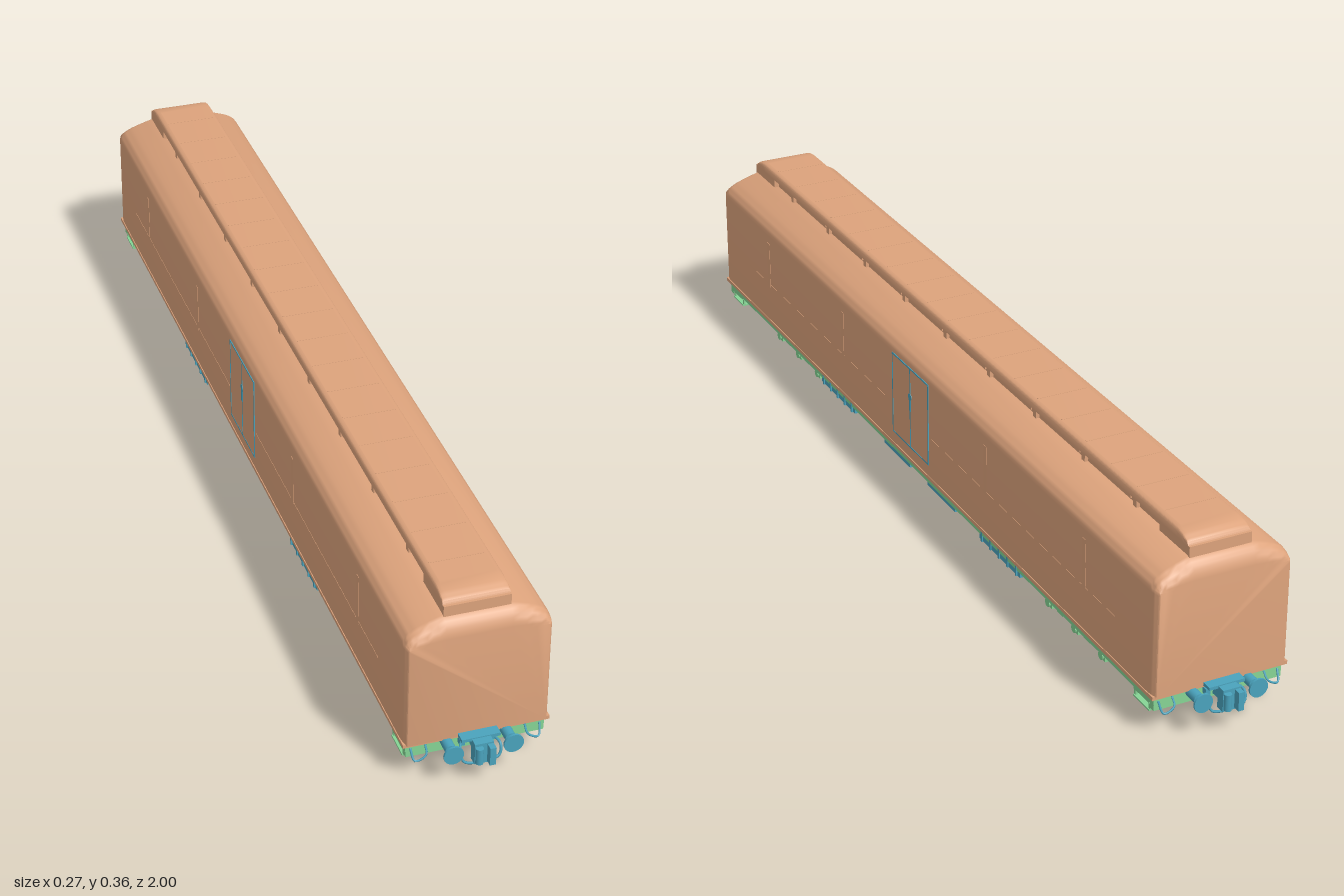
import * as THREE from 'three';
import { toCreasedNormals } from 'three/addons/utils/BufferGeometryUtils.js';

const bodyMat = new THREE.MeshStandardMaterial({ color: 0xdda37c });
const frameMat = new THREE.MeshStandardMaterial({ color: 0x86d495 });
const gearMat = new THREE.MeshStandardMaterial({ color: 0x4aa3bd });

function add(parent, name, geometry, material, x = 0, y = 0, z = 0) {
  const mesh = new THREE.Mesh(geometry, material);
  mesh.name = name;
  mesh.position.set(x, y, z);
  parent.add(mesh);
  return mesh;
}
function group(parent, name, z = 0) {
  const g = new THREE.Group();
  g.name = name;
  g.position.z = z;
  parent.add(g);
  return g;
}
const box = (w, h, d) => new THREE.BoxGeometry(w, h, d);
const rodX = (r, l, n = 20) => new THREE.CylinderGeometry(r, r, l, n).rotateZ(Math.PI / 2);
const rodZ = (r, l, n = 20) => new THREE.CylinderGeometry(r, r, l, n).rotateX(Math.PI / 2);
const tube = (pts, r) => new THREE.TubeGeometry(
  new THREE.CatmullRomCurve3(pts.map(p => new THREE.Vector3(...p))), 16, r, 6);

// Skin convex cross-sections (counter-clockwise, ordered from -z to +z) and cap both ends
function loft(sections) {
  const pos = [], tri = (...p) => p.forEach(v => pos.push(...v));
  const n = sections[0].length;
  for (let i = 0; i < sections.length - 1; i++) for (let j = 0; j < n; j++) {
    const k = (j + 1) % n, s = sections[i], t = sections[i + 1];
    tri(s[j], s[k], t[k]);
    tri(s[j], t[k], t[j]);
  }
  const back = sections[0], front = sections[sections.length - 1];
  for (let j = 1; j < n - 1; j++) {
    tri(front[0], front[j], front[j + 1]);
    tri(back[0], back[j + 1], back[j]);
  }
  const g = new THREE.BufferGeometry();
  g.setAttribute('position', new THREE.Float32BufferAttribute(pos, 3));
  return toCreasedNormals(g, 0.6);
}

// Long shell whose roof curves down to the eaves line at both ends
function roundedShell(shape, zEnd, r, eaves, pinch) {
  const profile = shape.getPoints(10);
  if (profile[0].distanceTo(profile[profile.length - 1]) < 1e-5) profile.pop();
  const half = [];
  for (let i = 0; i <= 8; i++) {
    const a = i / 8 * Math.PI / 2, f = Math.cos(a);
    half.push({ z: zEnd - r * (1 - Math.sin(a)), f });
  }
  const rings = [...half.map(h => ({ z: -h.z, f: h.f })).reverse(), ...half];
  return loft(rings.map(({ z, f }) => profile.map(p => [
    p.x * (1 - pinch * (1 - f)), p.y > eaves ? eaves + (p.y - eaves) * f : p.y, z])));
}

function createCarBody(root) {
  const g = group(root, 'carBody');
  const s = new THREE.Shape();
  s.moveTo(0.131, 0.078);
  s.lineTo(0.131, 0.277);
  s.bezierCurveTo(0.131, 0.303, 0.105, 0.312, 0.06, 0.325);
  s.lineTo(-0.06, 0.325);
  s.bezierCurveTo(-0.105, 0.312, -0.131, 0.303, -0.131, 0.277);
  s.lineTo(-0.131, 0.078);
  add(g, 'shell', roundedShell(s, 0.95, 0.03, 0.281, 0.05), bodyMat);
  add(g, 'floorLip', box(0.265, 0.007, 1.896), bodyMat, 0, 0.0775, 0);

  // Side doors, rails and wall battens
  for (const x of [-1, 1]) {
    const d = group(g, x > 0 ? 'leftSide' : 'rightSide');
    add(d, 'doorPanel', box(0.002, 0.17, 0.156), bodyMat, x * 0.131, 0.19, 0);
    for (const z of [-0.079, 0, 0.079])
      add(d, 'doorPost', box(0.003, 0.17, 0.003), gearMat, x * 0.131, 0.19, z);
    for (const y of [0.106, 0.275])
      add(d, 'doorRail', box(0.003, 0.003, 0.16), gearMat, x * 0.131, y, 0);
    add(d, 'doorHandle', box(0.004, 0.03, 0.008), gearMat, x * 0.131, 0.2, 0);
    add(d, 'doorLock', rodX(0.007, 0.004, 12), gearMat, x * 0.131, 0.215, 0);
    for (const z of [-0.7, -0.32, 0.32, 0.7])
      add(d, 'wallBatten', box(0.0015, 0.1, 0.012), bodyMat, x * 0.131, 0.21, z);
    for (const z of [-1, 1])
      add(d, 'beltMoulding', box(0.001, 0.002, 0.72), bodyMat, x * 0.131, 0.165, z * 0.45);
  }
}

function createClerestory(root) {
  const g = group(root, 'clerestory');
  const roof = new THREE.Shape();
  roof.moveTo(0.06, 0.342);
  roof.lineTo(0.06, 0.352);
  roof.quadraticCurveTo(0.06, 0.36, 0.05, 0.36);
  roof.lineTo(-0.05, 0.36);
  roof.quadraticCurveTo(-0.06, 0.36, -0.06, 0.352);
  roof.lineTo(-0.06, 0.342);
  add(g, 'raisedRoof', roundedShell(roof, 0.925, 0.045, 0.342, 0), bodyMat);
  add(g, 'windowWall', box(0.1, 0.022, 1.8), bodyMat, 0, 0.333, 0);
  for (const z of [-1, 1])
    add(g, 'endHood', box(0.12, 0.022, 0.1), bodyMat, 0, 0.332, z * 0.88);
  for (let i = -4; i <= 4; i++) {
    add(g, 'windowDivider', box(0.114, 0.02, 0.012), bodyMat, 0, 0.333, i * 0.185);
    if (i < 4) for (const x of [-1, 1])
      add(g, 'ventWindow', box(0.003, 0.011, 0.14), bodyMat, x * 0.051, 0.334, (i + 0.5) * 0.185);
  }
  for (let i = -9; i <= 9; i++)
    add(g, 'roofSeam', box(0.1, 0.001, 0.003), bodyMat, 0, 0.36, i * 0.092);
}

function createUnderframe(root) {
  const g = group(root, 'underframe');
  for (const x of [-1, 1]) {
    add(g, 'centreSill', box(0.012, 0.03, 1.86), frameMat, x * 0.024, 0.062, 0);
    add(g, 'sideSill', box(0.008, 0.018, 1.88), frameMat, x * 0.122, 0.068, 0);
    add(g, 'lowerChord', box(0.012, 0.012, 0.72), frameMat, x * 0.1, 0.05, 0);
    // Battery boxes with ribbed fronts
    for (const z of [-1, 1]) {
      const b = group(g, 'batteryBox', z * 0.365);
      add(b, 'case', box(0.036, 0.028, 0.165), gearMat, x * 0.106, 0.061, 0);
      for (let i = -2; i <= 2; i++)
        add(b, 'rib', box(0.003, 0.03, 0.005), gearMat, x * 0.125, 0.061, i * 0.035);
      // Air tanks with straps
      add(g, 'airTank', new THREE.CapsuleGeometry(0.014, 0.11, 5, 18).rotateX(Math.PI / 2), gearMat, x * 0.062, 0.055, z * 0.17);
      for (const dz of [-0.04, 0.04])
        add(g, 'tankStrap', rodZ(0.015, 0.006), frameMat, x * 0.062, 0.055, z * 0.17 + dz);
      add(g, 'equipmentTray', box(0.03, 0.012, 0.12), gearMat, x * 0.1, 0.044, z * 0.1);
    }
  }
  for (let i = -10; i <= 10; i++)
    add(g, 'crossMember', box(0.24, 0.014, 0.01), frameMat, 0, 0.069, i * 0.092);
  for (const z of [-1, 1]) {
    add(g, 'brakeCylinder', rodZ(0.016, 0.08), gearMat, z * 0.005, 0.052, z * 0.31);
    add(g, 'brakeRod', rodZ(0.003, 0.25, 8), gearMat, z * 0.005, 0.052, z * 0.15);
  }
}

// Six-wheel truck
function createBogie(root, z0) {
  const g = group(root, z0 > 0 ? 'frontBogie' : 'rearBogie', z0);
  const wheelProfile = [[0.004, -0.005], [0.01, -0.007], [0.01, -0.003], [0.02, -0.003], [0.021, -0.006],
    [0.0275, -0.006], [0.028, -0.004], [0.0255, -0.002], [0.025, 0.006], [0.021, 0.006],
    [0.02, 0.002], [0.01, 0.002], [0.01, 0.007], [0.004, 0.007]].map(p => new THREE.Vector2(...p));
  const wheel = toCreasedNormals(new THREE.LatheGeometry(wheelProfile, 32), 0.5);

  // Side frame with an arch over each gap between axles
  const s = new THREE.Shape();
  s.moveTo(-0.15, 0.062);
  s.lineTo(-0.15, 0.05);
  for (const z of [-0.1, 0, 0.1]) {
    s.lineTo(z - 0.022, 0.045);
    s.lineTo(z - 0.014, 0.024);
    s.lineTo(z + 0.014, 0.024);
    s.lineTo(z + 0.022, 0.045);
  }
  s.lineTo(0.15, 0.05);
  s.lineTo(0.15, 0.062);
  const side = new THREE.ExtrudeGeometry(s, { depth: 0.006, bevelEnabled: false })
    .translate(0, 0, -0.003).rotateY(-Math.PI / 2);

  for (const z of [-0.1, 0, 0.1]) {
    const w = group(g, 'wheelset', z);
    add(w, 'axle', rodX(0.005, 0.19, 14), frameMat, 0, 0.028, 0);
    for (const x of [-1, 1]) {
      add(w, 'wheel', wheel, frameMat, x * 0.075, 0.028, 0).rotation.z = -x * Math.PI / 2;
      add(w, 'axleBox', box(0.016, 0.02, 0.022), frameMat, x * 0.094, 0.03, 0);
      add(w, 'axleCap', rodX(0.008, 0.004, 14), frameMat, x * 0.104, 0.029, 0);
      for (const dz of [-0.031, 0.031])
        add(w, 'brakeShoe', box(0.009, 0.018, 0.006), frameMat, x * 0.075, 0.031, dz);
    }
  }
  for (const x of [-1, 1]) {
    add(g, 'sideFrame', side, frameMat, x * 0.092, 0, 0);
    for (const z of [-0.05, 0.05]) {
      // Leaf spring stack
      for (let i = 0; i < 4; i++)
        add(g, 'leafSpring', box(0.012, 0.004, 0.06 - i * 0.012), frameMat, x * 0.1, 0.046 - i * 0.004, z);
      add(g, 'springHanger', box(0.01, 0.025, 0.008), frameMat, x * 0.1, 0.058, z);
    }
    add(g, 'equalizer', tube([[x * 0.085, 0.045, -0.11], [x * 0.085, 0.034, -0.05], [x * 0.085, 0.045, 0],
      [x * 0.085, 0.034, 0.05], [x * 0.085, 0.045, 0.11]], 0.003), frameMat);
    add(g, 'innerBeam', box(0.01, 0.012, 0.2), frameMat, x * 0.035, 0.054, 0);
  }
  for (const z of [-0.15, -0.05, 0.05, 0.15])
    add(g, 'bolster', box(0.19, 0.014, Math.abs(z) < 0.1 ? 0.024 : 0.008), frameMat, 0, 0.053, z);
  add(g, 'centrePivot', new THREE.CylinderGeometry(0.022, 0.022, 0.03, 24), frameMat, 0, 0.062, 0);
}

// Buffers, coupler, hoses and steps; built facing +z
function createEndGear(root, dir) {
  const g = group(root, dir > 0 ? 'frontEndGear' : 'rearEndGear');
  if (dir < 0) g.rotation.y = Math.PI;
  add(g, 'endBeam', box(0.25, 0.03, 0.012), frameMat, 0, 0.063, 0.935);
  add(g, 'drawBox', box(0.075, 0.03, 0.1), frameMat, 0, 0.06, 0.89);
  for (const x of [-1, 1]) {
    add(g, 'bufferSleeve', rodZ(0.01, 0.03), gearMat, x * 0.054, 0.068, 0.955);
    add(g, 'bufferStem', rodZ(0.007, 0.02), gearMat, x * 0.054, 0.068, 0.972);
    add(g, 'bufferHead', rodZ(0.018, 0.004, 28), gearMat, x * 0.054, 0.068, 0.983);
    add(g, 'airHose', tube([[x * 0.028, 0.066, 0.945], [x * 0.036, 0.06, 0.968],
      [x * 0.032, 0.042, 0.975], [x * 0.012, 0.037, 0.978]], 0.0025), gearMat);
    add(g, 'hoseValve', box(0.009, 0.012, 0.012), gearMat, x * 0.028, 0.067, 0.95);
    // Corner steps
    for (const dz of [-0.025, 0.025])
      add(g, 'stepHanger', box(0.004, 0.035, 0.005), frameMat, x * 0.122, 0.059, 0.9 + dz);
    for (const y of [0.042, 0.057])
      add(g, 'stepTread', box(0.022, 0.003, 0.054), frameMat, x * 0.115, y, 0.9);
    add(g, 'grabIron', tube([[x * 0.09, 0.068, 0.941], [x * 0.092, 0.055, 0.953],
      [x * 0.112, 0.046, 0.953], [x * 0.117, 0.066, 0.941]], 0.002), gearMat);
  }
  add(g, 'couplerShank', box(0.02, 0.022, 0.06), gearMat, 0, 0.062, 0.945);
  add(g, 'couplerHead', box(0.034, 0.042, 0.018), gearMat, 0, 0.062, 0.977);
  add(g, 'couplerJaw', box(0.011, 0.036, 0.016), gearMat, 0.011, 0.062, 0.992);
  add(g, 'couplerKnuckle', new THREE.CylinderGeometry(0.007, 0.007, 0.032, 14), gearMat, -0.01, 0.062, 0.99);
  add(g, 'couplerHousing', box(0.07, 0.006, 0.03), gearMat, 0, 0.082, 0.955);
}

export function createModel() {
  const root = new THREE.Group();
  root.name = 'baggageCar';
  createCarBody(root);
  createClerestory(root);
  createUnderframe(root);
  for (const d of [-1, 1]) {
    createBogie(root, d * 0.62);
    createEndGear(root, d);
  }
  return root;
}
